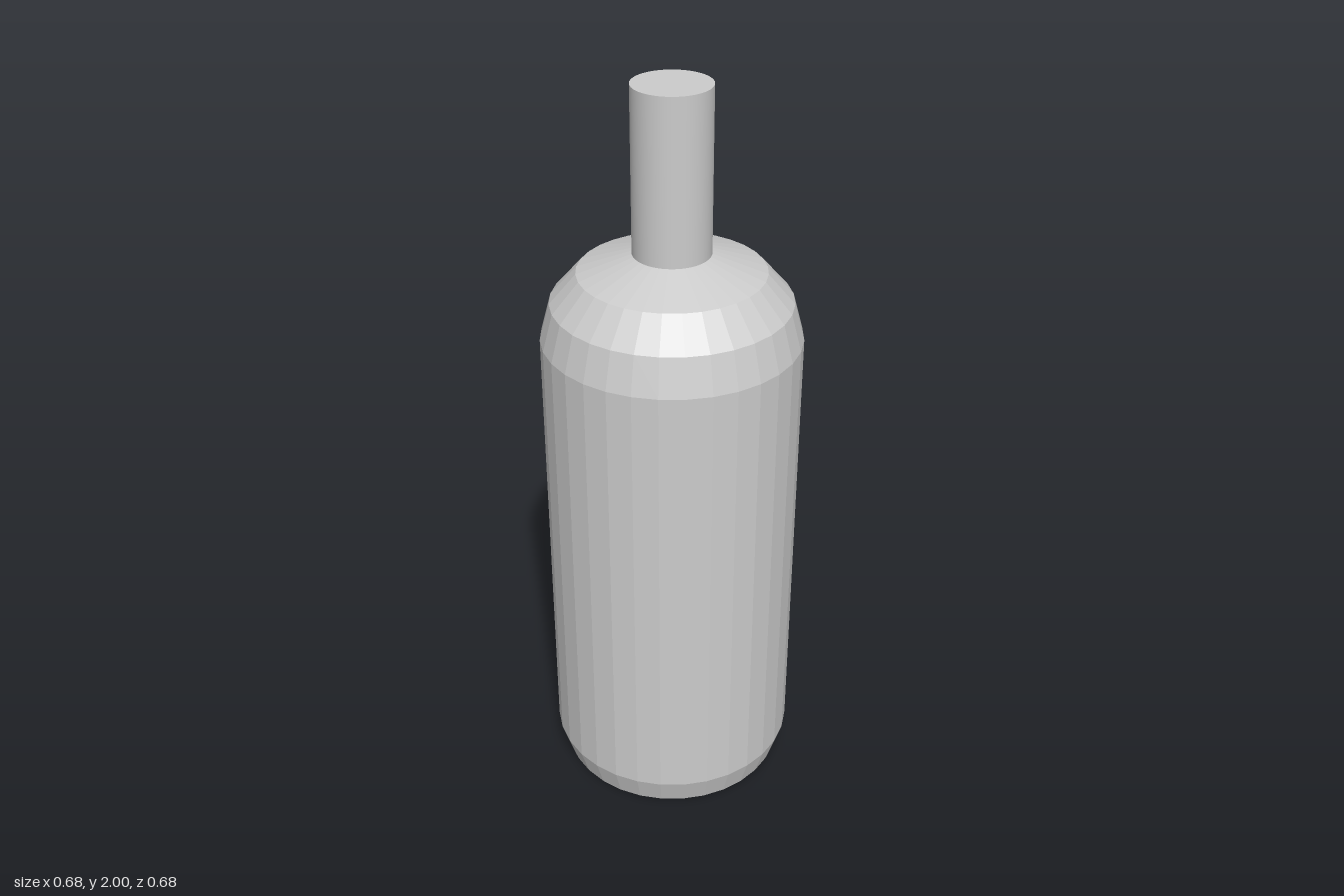
import * as THREE from 'three';

export function createModel() {
  const group = new THREE.Group();
  group.name = 'bottle';

  // Faceted body: flat base, bevelled foot, straight wall, stepped shoulder
  const profile = [
    [0, 0], [0.315, 0], [0.34, 0.08], [0.34, 1.34],
    [0.313, 1.44], [0.243, 1.52], [0.1, 1.57], [0, 1.57],
  ].map(([r, y]) => new THREE.Vector2(r, y));
  const body = new THREE.Mesh(
    new THREE.LatheGeometry(profile, 32),
    new THREE.MeshStandardMaterial({ color: 0xcccccc, flatShading: true })
  );
  body.name = 'body';
  group.add(body);

  // Smooth round neck with a flat closed top
  const neckBottom = 1.56;
  const neckHeight = 2 - neckBottom;
  const neck = new THREE.Mesh(
    new THREE.CylinderGeometry(0.101, 0.101, neckHeight, 64),
    new THREE.MeshStandardMaterial({ color: 0xcccccc })
  );
  neck.name = 'neck';
  neck.position.y = neckBottom + neckHeight / 2;
  group.add(neck);

  return group;
}
